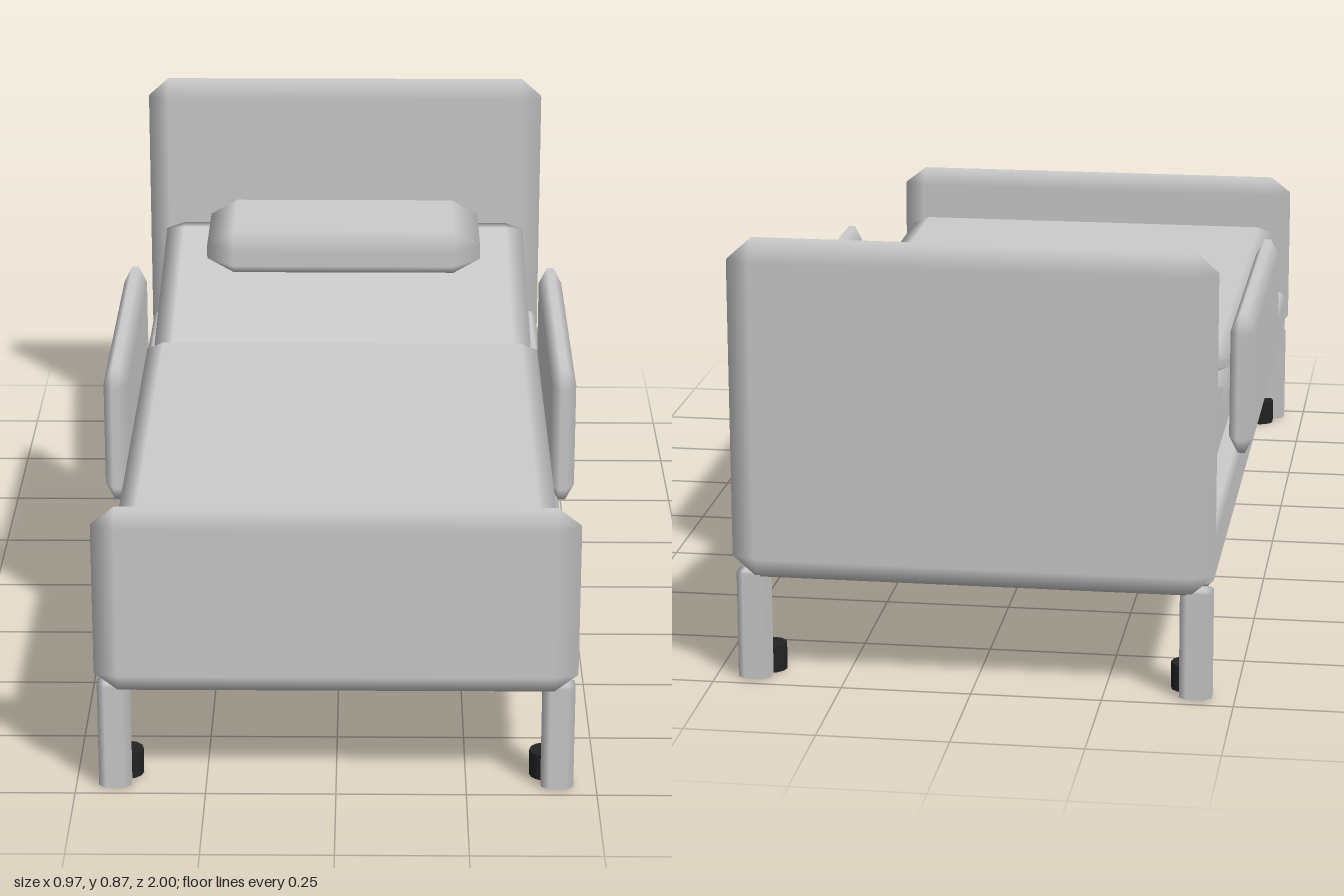
import * as THREE from 'three';
import { ConvexGeometry } from 'three/addons/geometries/ConvexGeometry.js';

const paleGrey = new THREE.MeshStandardMaterial({ color: 0xcccccc });
paleGrey.name = 'paleGrey';
const black = new THREE.MeshStandardMaterial({ color: 0x222222 });
black.name = 'black';

// Box with a single chamfer whose depth differs per axis; the chamfers shade softly.
function chamferBox(size, bevel) {
  const half = size.map((s) => s / 2);
  const points = [];
  for (const sx of [-1, 1]) for (const sy of [-1, 1]) for (const sz of [-1, 1]) {
    const sign = [sx, sy, sz];
    for (let axis = 0; axis < 3; axis++) {
      points.push(new THREE.Vector3(...sign.map((s, i) => s * (half[i] - (i === axis ? 0 : bevel[i])))));
    }
  }
  const geometry = new ConvexGeometry(points);
  const { position, normal } = geometry.attributes;
  // Each corner takes the normal of the flat face it borders
  for (let i = 0; i < position.count; i++) {
    const n = half.map((h, axis) => {
      const v = position.getComponent(i, axis);
      return Math.abs(Math.abs(v) - h) < 1e-5 ? Math.sign(v) : 0;
    });
    normal.setXYZ(i, ...n);
  }
  return geometry;
}

export function createModel() {
  const bed = new THREE.Group();
  bed.name = 'bed';

  const add = (name, geometry, material, x, y, z) => {
    const mesh = new THREE.Mesh(geometry, material);
    mesh.name = name;
    mesh.position.set(x, y, z);
    bed.add(mesh);
    return mesh;
  };
  // Chamfered part given by its [min, max] range on each axis
  const addPart = (name, xr, yr, zr, bevel) => {
    const ranges = [xr, yr, zr];
    const geometry = chamferBox(ranges.map((r) => r[1] - r[0]), bevel);
    return add(name, geometry, paleGrey, ...ranges.map((r) => (r[0] + r[1]) / 2));
  };

  // Frame and end boards
  addPart('frame', [-0.455, 0.455], [0.215, 0.31], [-0.955, 0.965], [0.012, 0.012, 0.02]);
  addPart('headboard', [-0.46, 0.46], [0.21, 0.87], [-1, -0.942], [0.045, 0.04, 0.02]);
  addPart('footboard', [-0.46, 0.46], [0.21, 0.58], [0.948, 1], [0.045, 0.035, 0.018]);

  // Bedding
  addPart('mattress', [-0.42, 0.42], [0.31, 0.43], [-0.915, 0.93], [0.04, 0.03, 0.045]);
  addPart('blanket', [-0.427, 0.427], [0.438, 0.478], [-0.267, 0.93], [0.035, 0.014, 0.035]);
  addPart('pillow', [-0.31, 0.31], [0.523, 0.622], [-0.88, -0.525], [0.06, 0.034, 0.06]);

  // Raised back section, sheared so it climbs towards the headboard
  const backrest = addPart('backrest', [-0.418, 0.418], [0.385, 0.487], [-0.915, -0.31], [0.04, 0.003, 0.03]);
  const slope = new THREE.Matrix4();
  slope.elements[9] = -0.175;
  backrest.geometry.applyMatrix4(slope);

  // Side rails, legs and casters
  for (const side of [1, -1]) {
    const sideName = side > 0 ? 'left' : 'right';
    const rail = chamferBox([0.05, 0.288, 0.725], [0.018, 0.035, 0.035]);
    add(sideName + 'Rail', rail, paleGrey, side * 0.46, 0.457, -0.06);

    for (const end of [1, -1]) {
      const legName = sideName + (end > 0 ? 'Front' : 'Back');
      const leg = chamferBox([0.062, 0.215, 0.055], [0.014, 0.002, 0.013]);
      add(legName + 'Leg', leg, paleGrey, side * 0.425, 0.1075, end * 0.954);
      const caster = new THREE.CylinderGeometry(0.03, 0.03, 0.052, 12);
      add(legName + 'Caster', caster, black, side * 0.403, 0.026, end * 0.908);
    }
  }
  return bed;
}
